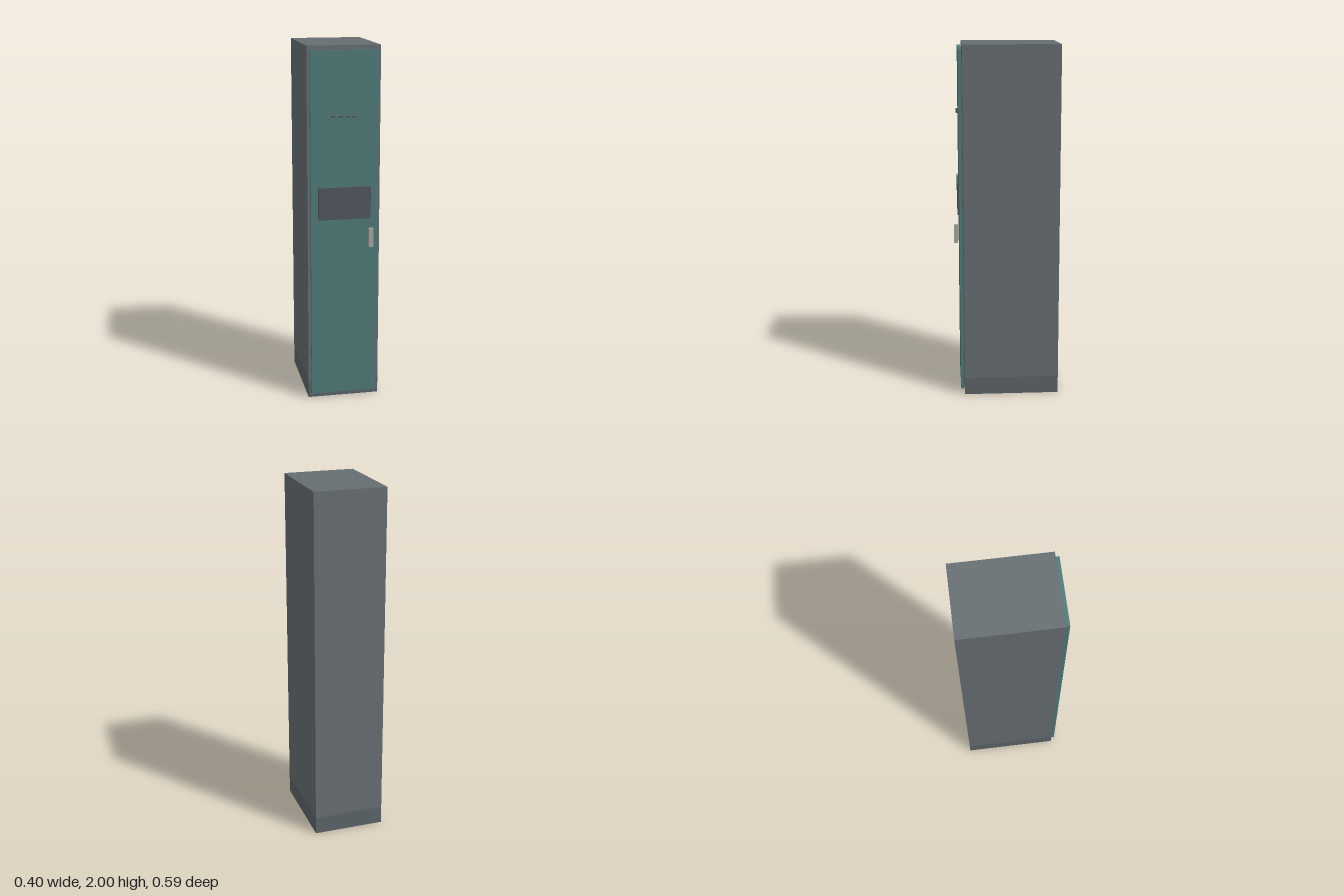
import * as THREE from 'three';

const material = (color) => new THREE.MeshStandardMaterial({ color });

export function createModel() {
  const locker = new THREE.Group();
  locker.name = 'locker';

  const bodyGrey = material(0x666e72);
  const plinthGrey = material(0x5c6468);
  const doorGreen = material(0x4f7a78);
  const darkGrey = material(0x50565e);
  const handleGrey = material(0xa5a5a0);

  // Box given by its lowest and highest corner
  function box(name, mat, min, max) {
    const size = max.map((v, i) => v - min[i]);
    const mesh = new THREE.Mesh(new THREE.BoxGeometry(...size), mat);
    mesh.position.set(...max.map((v, i) => (v + min[i]) / 2));
    mesh.name = name;
    locker.add(mesh);
    return mesh;
  }

  // Cabinet standing on a flush plinth
  box('plinth', plinthGrey, [-0.202, 0, -0.296], [0.202, 0.1, 0.242]);
  box('cabinetBody', bodyGrey, [-0.202, 0.1, -0.296], [0.202, 2, 0.242]);

  // Door, set just off the cabinet front
  box('door', doorGreen, [-0.187, 0.03, 0.245], [0.187, 1.975, 0.264]);

  // Label plate and handle
  box('labelPlate', darkGrey, [-0.147, 1.055, 0.267], [0.146, 1.235, 0.273]);
  box('handle', handleGrey, [0.132, 0.895, 0.273], [0.159, 1.0, 0.295]);

  // Row of ventilation slots
  for (let i = 0; i < 4; i++) {
    const x = -0.063 + i * 0.0393;
    box('ventSlot' + (i + 1), darkGrey, [x - 0.011, 1.618, 0.265], [x + 0.011, 1.627, 0.276]);
  }

  return locker;
}
